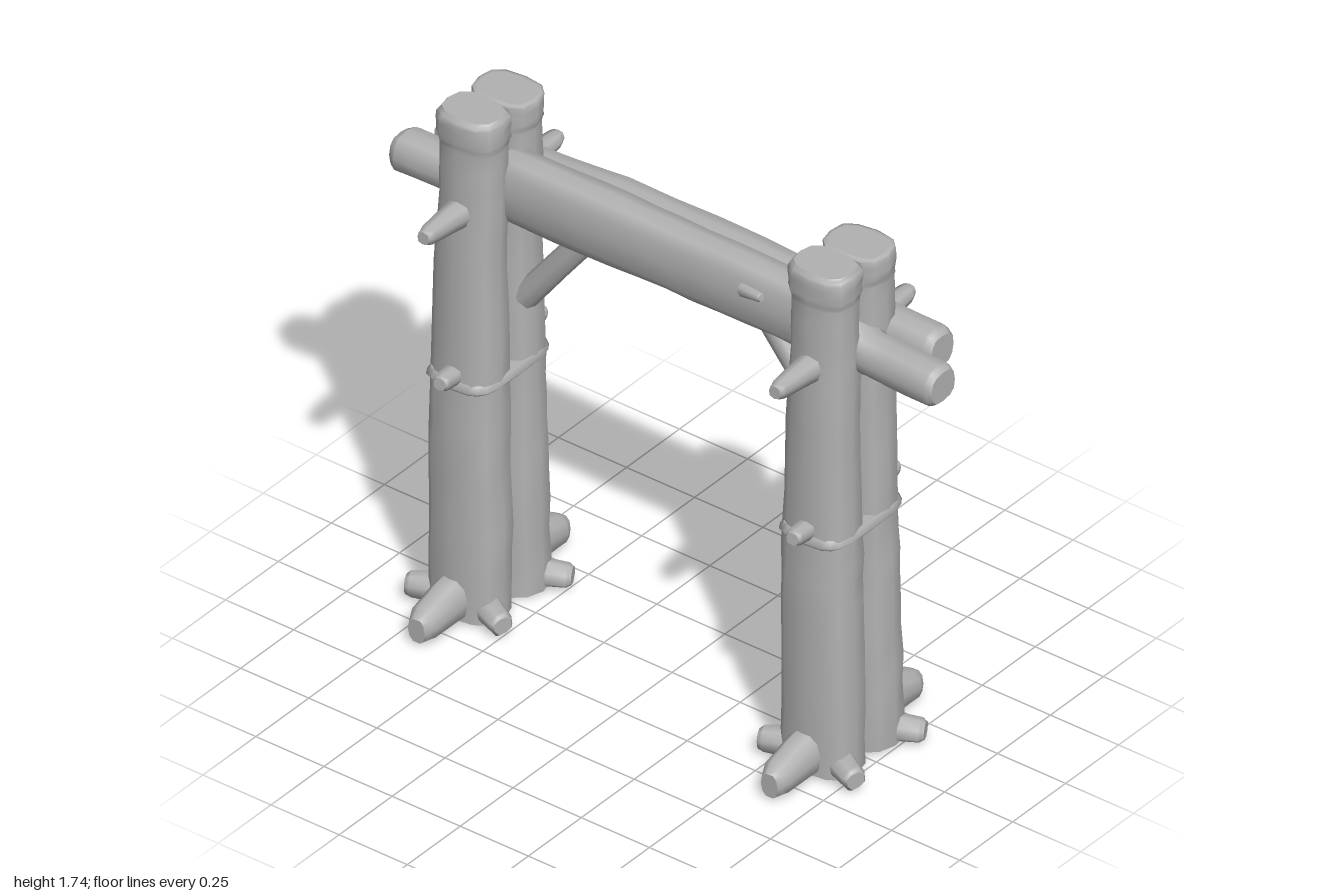
import * as THREE from 'three';

// repeatable bumpiness, -1..1
const hash = (a, b) => {
  const s = Math.sin(a * 12.9898 + b * 78.233) * 43758.5453;
  return (s - Math.floor(s)) * 2 - 1;
};
const power = (v, p) => Math.sign(v) * Math.abs(v) ** p;

// Rough log lofted along an axis; each section is [along, u, v, ru, rv].
// (u, v) are (y, z) for x, (z, x) for y and (x, y) for z.
function logGeometry(axis, sections, { sides = 12, lump = 0.04, steps = 3, square = 0.75, seed = 1 } = {}) {
  const rows = [];
  sections.forEach((s, i) => {
    const next = sections[i + 1];
    if (!next) return rows.push(s);
    for (let k = 0; k < steps; k++) rows.push(s.map((v, j) => v + (next[j] - v) * k / steps));
  });
  const place = (w, u, v) => axis === 'x' ? [w, u, v] : axis === 'y' ? [v, w, u] : [u, v, w];
  const pos = [], index = [];
  const ring = (r, row) => {
    for (let k = 0; k < sides; k++) {
      const a = k / sides * Math.PI * 2;
      const m = 1 + lump * (0.6 * hash(row + seed * 31, k) + 0.5 * Math.sin(k * 2.1 + row * 0.35 + seed));
      pos.push(...place(r[0], r[1] + r[3] * m * power(Math.cos(a), square), r[2] + r[4] * m * power(Math.sin(a), square)));
    }
  };
  rows.forEach(ring);
  for (let i = 0; i < rows.length - 1; i++) {
    for (let k = 0; k < sides; k++) {
      const a = i * sides + k, b = i * sides + (k + 1) % sides;
      index.push(a, b, b + sides, a, b + sides, a + sides);
    }
  }
  // sawn ends with their own vertices
  for (const end of [0, rows.length - 1]) {
    const start = pos.length / 3, r = rows[end];
    ring(r, end);
    pos.push(...place(r[0], r[1], r[2]));
    for (let k = 0; k < sides; k++) {
      const a = start + k, b = start + (k + 1) % sides, c = start + sides;
      end ? index.push(a, b, c) : index.push(b, a, c);
    }
  }
  const g = new THREE.BufferGeometry();
  g.setAttribute('position', new THREE.Float32BufferAttribute(pos, 3));
  g.setIndex(index);
  g.computeVertexNormals();
  return g;
}

export function createModel() {
  const model = new THREE.Group();
  model.name = 'logGateway';
  const wood = new THREE.MeshStandardMaterial({ color: 0xb2b2b2 });
  wood.name = 'greyWood';

  const addLog = (parent, name, axis, sections, options) => {
    const mesh = new THREE.Mesh(logGeometry(axis, sections, options), wood);
    mesh.name = name;
    parent.add(mesh);
    return mesh;
  };
  // tapered stick between two points
  const addStick = (parent, name, from, to, r0, r1, seed = 1) => {
    const a = new THREE.Vector3(...from), d = new THREE.Vector3(...to).sub(a), l = d.length();
    const mesh = addLog(parent, name, 'y',
      [[0, 0, 0, r0, r0], [l * 0.9, 0, 0, r1, r1], [l, 0, 0, r1 * 0.75, r1 * 0.75]],
      { sides: 8, steps: 2, seed, lump: 0.06 });
    mesh.position.copy(a);
    mesh.quaternion.setFromUnitVectors(new THREE.Vector3(0, 1, 0), d.normalize());
  };

  // Posts: each a pair of upright logs with pegs, a band and roots
  for (const side of [-1, 1]) {
    const post = new THREE.Group();
    post.name = side < 0 ? 'rightPost' : 'leftPost';
    model.add(post);
    const low = side < 0 ? -0.67 : 0.625, mid = side < 0 ? -0.675 : 0.62, top = side < 0 ? -0.665 : 0.625;

    for (const f of [1, -1]) {
      const h = f > 0 ? 1.745 : 1.73;
      addLog(post, f > 0 ? 'frontPostLog' : 'backPostLog', 'y', [
        [0.01, f * 0.09, low, 0.095, 0.125],
        [0.3, f * 0.088, low, 0.1, 0.122],
        [0.6, f * 0.09, mid, 0.095, 0.118],
        [0.81, f * 0.085, mid, 0.092, 0.115],
        [1.2, f * 0.083, mid, 0.088, 0.105],
        [1.45, f * 0.08, top, 0.084, 0.1],
        [1.63, f * 0.08, top, 0.082, 0.1],
        [1.66, f * 0.08, top, 0.086, 0.108],
        [1.725, f * 0.08, top, 0.086, 0.108],
        [h, f * 0.08, top, 0.07, 0.095],
      ], { seed: side * 3 + f + 5 });

      // pegs sticking out of the face
      addStick(post, 'upperPeg', [top, 1.42, f * 0.1], [top + 0.008 * f, 1.425, f * 0.33], 0.048, 0.028, f + 4);
      addStick(post, 'lowerPeg', [mid, 0.85, f * 0.1], [mid + 0.012, 0.865, f * 0.245], 0.035, 0.027, f + 7);

      // roots at the foot
      addLog(post, 'mainRoot', 'z', [
        [-0.345, low, 0.05, 0.03, 0.04], [-0.31, low, 0.06, 0.05, 0.05],
        [-0.22, low, 0.075, 0.055, 0.065], [-0.1, low, 0.09, 0.06, 0.08],
      ].map(([w, ...r]) => [w * f, ...r]).sort((a, b) => a[0] - b[0]), { sides: 10, steps: 2, seed: f + 9 });
      for (const s of [-1, 1])
        addStick(post, 'sideRoot', [low + s * 0.04, 0.05, f * 0.1], [low + s * 0.178, 0.045, f * 0.165], 0.048, 0.038, s + 3);
    }

    // raised lashing around the pair
    addLog(post, 'band', 'y', [[0.805, 0, mid, 0.175, 0.11], [0.82, 0, mid, 0.188, 0.122], [0.84, 0, mid, 0.175, 0.11]],
      { sides: 20, steps: 1, lump: 0.015, square: 0.5 });

    // brace up to the beam
    addStick(model, 'brace', [side < 0 ? -0.58 : 0.56, 1.05, -0.06], [side < 0 ? -0.31 : 0.27, 1.4, -0.06], 0.042, 0.04, side + 2);
  }

  // Crossbeam: a tall front log with thin ends and a lower back log
  addLog(model, 'frontBeam', 'x', [
    [-1, 1.425, -0.005, 0.05, 0.055],
    [-0.975, 1.425, -0.005, 0.065, 0.068],
    [-0.78, 1.425, -0.01, 0.064, 0.067],
    [-0.62, 1.465, -0.01, 0.115, 0.07],
    [-0.3, 1.465, -0.01, 0.118, 0.072],
    [0, 1.465, -0.012, 0.113, 0.072],
    [0.3, 1.467, -0.01, 0.113, 0.072],
    [0.58, 1.46, -0.01, 0.11, 0.07],
    [0.74, 1.425, -0.005, 0.062, 0.067],
    [0.975, 1.425, 0.005, 0.064, 0.066],
    [1, 1.425, 0.005, 0.05, 0.055],
  ], { seed: 12, lump: 0.035 });
  addLog(model, 'backBeam', 'x', [
    [-0.95, 1.42, -0.15, 0.055, 0.052],
    [-0.925, 1.42, -0.15, 0.07, 0.066],
    [-0.6, 1.425, -0.145, 0.07, 0.07],
    [-0.3, 1.435, -0.145, 0.083, 0.072],
    [0.2, 1.435, -0.142, 0.085, 0.072],
    [0.6, 1.425, -0.14, 0.07, 0.07],
    [0.85, 1.42, -0.145, 0.068, 0.066],
    [0.88, 1.42, -0.145, 0.052, 0.052],
  ], { seed: 17 });

  // broken twigs on the beam
  addStick(model, 'frontTwig', [0.3, 1.5, 0.05], [0.38, 1.51, 0.065], 0.022, 0.015);
  addStick(model, 'backTwig', [0.41, 1.45, -0.19], [0.42, 1.535, -0.205], 0.022, 0.008);

  return model;
}
